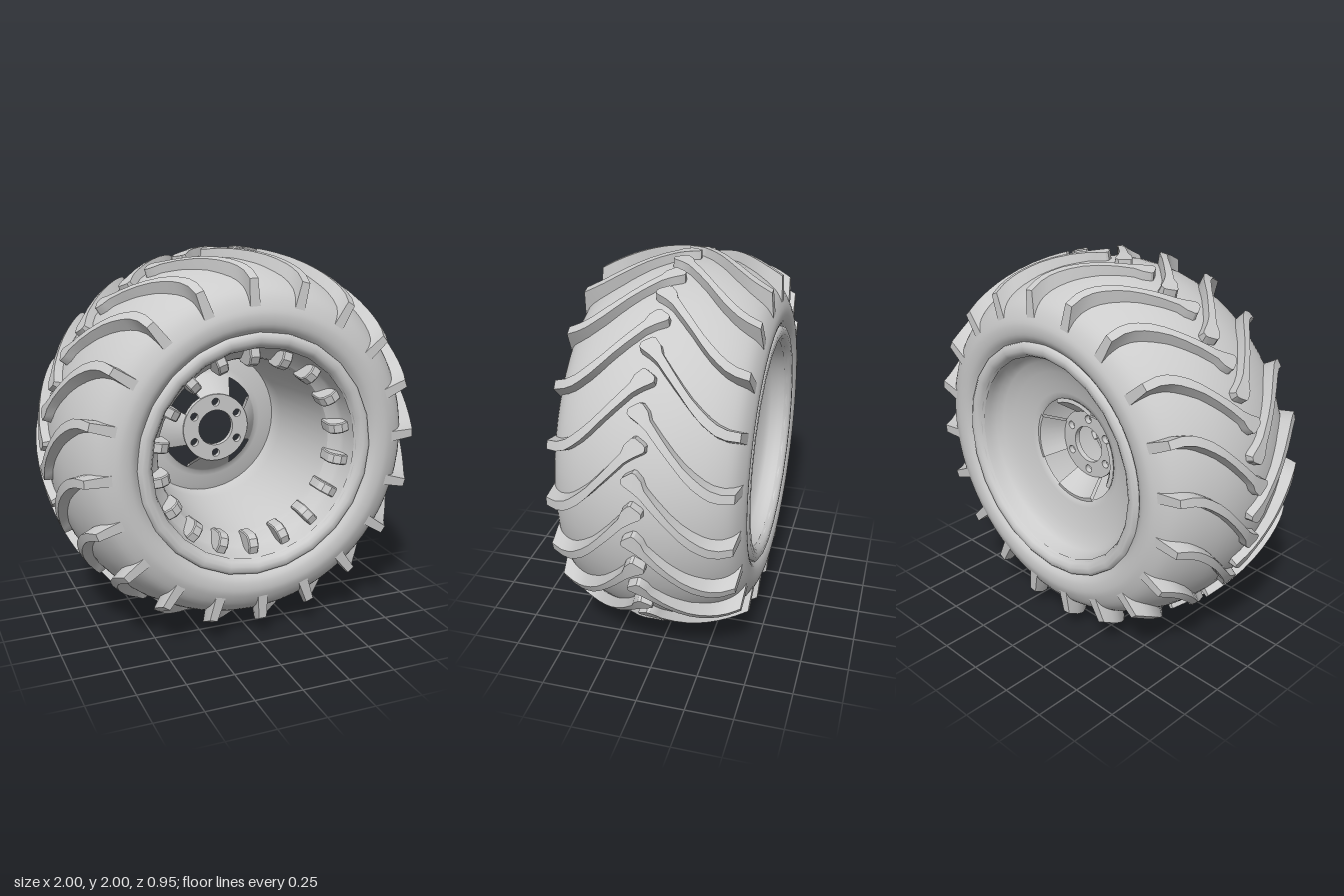
import * as THREE from 'three';
import { toCreasedNormals } from 'three/addons/utils/BufferGeometryUtils.js';

const material = new THREE.MeshStandardMaterial({ color: 0xcccccc, side: THREE.DoubleSide });
const LUGS = 20, CLAMPS = 18;
const v2 = (p) => new THREE.Vector2(p[0], p[1]);

function add(parent, name, geometry) {
  const mesh = new THREE.Mesh(geometry, material);
  mesh.name = name;
  parent.add(mesh);
  return mesh;
}

// Revolve [radius, z] points about the z axle
function revolve(points, segments, crease) {
  const geometry = new THREE.LatheGeometry(points.map(v2), segments).rotateX(Math.PI / 2);
  return crease ? toCreasedNormals(geometry, crease) : geometry;
}

// Half of the tyre section, from the crown to the bead: [radius, z]
const HALF_SECTION = [
  [0.96, 0], [0.945, 0.15], [0.905, 0.28], [0.86, 0.37], [0.81, 0.43],
  [0.745, 0.465], [0.7, 0.473], [0.655, 0.465], [0.622, 0.44],
];

function carcassRadius(z) {
  for (let i = 1; i < HALF_SECTION.length; i++) {
    const [r0, z0] = HALF_SECTION[i - 1], [r1, z1] = HALF_SECTION[i];
    if (z <= z1) return r0 + (r1 - r0) * (z - z0) / (z1 - z0);
  }
  return 0.7;
}

function carcass() {
  const mirrored = HALF_SECTION.slice(1).reverse().map(([r, z]) => [r, -z]);
  const curve = new THREE.SplineCurve([...mirrored, ...HALF_SECTION].map(v2));
  return revolve(curve.getPoints(48).map((p) => [p.x, p.y]), 64);
}

// Tread lug stations: [z, lower angle, upper angle], from the hooked head to the shoulder
const LUG_STATIONS = [
  [-0.05, -0.012, 0.018], [-0.04, -0.022, 0.03], [0, -0.045, 0.055], [0.015, -0.055, 0.052],
  [0.045, -0.078, 0.02], [0.06, -0.095, -0.02], [0.115, -0.155, -0.087], [0.17, -0.215, -0.152],
  [0.22, -0.272, -0.208], [0.265, -0.318, -0.25], [0.31, -0.354, -0.288], [0.345, -0.377, -0.312],
  [0.39, -0.392, -0.33], [0.45, -0.394, -0.334],
];

function lugGeometry(side) {
  const positions = [], index = [];
  const last = LUG_STATIONS.length - 1;
  const quad = (a, b, c, d) => (side > 0
    ? index.push(a, b, c, a, c, d) : index.push(a, c, b, a, d, c));
  LUG_STATIONS.forEach(([z, lo, hi], i) => {
    const top = 1 - 0.11 * Math.pow(Math.abs(z) / 0.45, 2.5);
    const base = carcassRadius(Math.abs(z)) - 0.02;
    const flare = 0.006;
    const baseZ = i === last ? z + 0.01 : z;
    const corners = [[base, lo - flare, baseZ], [top, lo + flare, z],
      [top, hi - flare, z], [base, hi + flare, baseZ]];
    for (const [r, a, w] of corners) positions.push(r * Math.cos(a), r * Math.sin(a), w * side);
    if (i === 0) return;
    const p = (i - 1) * 4, n = i * 4;
    for (let j = 0; j < 3; j++) quad(p + j, p + j + 1, n + j + 1, n + j);
  });
  quad(0, 3, 2, 1);
  const e = last * 4;
  quad(e, e + 1, e + 2, e + 3);
  const geometry = new THREE.BufferGeometry();
  geometry.setAttribute('position', new THREE.Float32BufferAttribute(positions, 3));
  geometry.setIndex(index);
  return toCreasedNormals(geometry, 0.5);
}

// Small hooked clamp on the bead seat, profile drawn in radius and z
function clampGeometry() {
  const profile = [[0.535, 0.39], [0.5, 0.4], [0.465, 0.385], [0.45, 0.36], [0.45, 0.33],
    [0.455, 0.27], [0.475, 0.25], [0.535, 0.3]];
  const width = 0.055;
  const geometry = new THREE.ExtrudeGeometry(new THREE.Shape(profile.map(v2)), {
    depth: width - 0.012, bevelEnabled: true, bevelSize: 0.005, bevelThickness: 0.006, bevelSegments: 1,
  });
  geometry.translate(0, 0, -(width - 0.012) / 2).rotateX(Math.PI / 2);
  return geometry;
}

function hubPlate() {
  const shape = new THREE.Shape();
  shape.absarc(0, 0, 0.19, 0, Math.PI * 2);
  const hole = (x, y, r) => {
    const path = new THREE.Path();
    path.absarc(x, y, r, 0, Math.PI * 2, true);
    shape.holes.push(path);
  };
  hole(0, 0, 0.1);
  for (let i = 0; i < 6; i++) {
    const a = Math.PI / 6 + i * Math.PI / 3;
    hole(0.145 * Math.cos(a), 0.145 * Math.sin(a), 0.022);
  }
  return new THREE.ExtrudeGeometry(shape, { depth: 0.03, bevelEnabled: false, curveSegments: 20 });
}

// Tapered spoke: one sector of a thick cone between the disc and the hub
function spokeGeometry() {
  const length = THREE.MathUtils.degToRad(54);
  const section = [[0.285, -0.27], [0.19, -0.15], [0.18, -0.165], [0.265, -0.275], [0.285, -0.27]];
  const geometry = new THREE.LatheGeometry(section.map(v2), 6, Math.PI / 2 - length / 2, length);
  return toCreasedNormals(geometry.rotateX(Math.PI / 2), 0.5);
}

export function createModel() {
  const model = new THREE.Group();
  model.name = 'tractorWheel';
  const wheel = new THREE.Group();
  wheel.name = 'wheel';
  wheel.position.y = 1;
  model.add(wheel);

  // Tyre with two staggered rows of lugs
  const tyre = new THREE.Group();
  tyre.name = 'tyre';
  wheel.add(tyre);
  add(tyre, 'carcass', carcass());
  for (const side of [1, -1]) {
    const geometry = lugGeometry(side);
    for (let i = 0; i < LUGS; i++) {
      const lug = add(tyre, side > 0 ? 'frontLug' : 'backLug', geometry);
      lug.rotation.z = THREE.MathUtils.degToRad((side > 0 ? 23 : 14) + i * 360 / LUGS);
    }
  }

  // Rim: rolled flanges, deep barrel and dished disc at the back
  const rim = new THREE.Group();
  rim.name = 'rim';
  wheel.add(rim);
  const flange = [[0.632, 0.435], [0.627, 0.455], [0.61, 0.467], [0.585, 0.467], [0.565, 0.455], [0.55, 0.43]];
  add(rim, 'frontFlange', revolve(flange, 24));
  add(rim, 'backFlange', revolve(flange.map(([r, z]) => [r, -z]), 24));
  add(rim, 'barrel', revolve([[0.41, -0.295], [0.42, -0.26], [0.425, -0.2], [0.465, 0.25], [0.475, 0.28],
    [0.525, 0.325], [0.535, 0.35], [0.545, 0.4], [0.556, 0.445]], 48, 0.5));
  add(rim, 'disc', revolve([[0.556, -0.445], [0.545, -0.4], [0.53, -0.36], [0.5, -0.335], [0.44, -0.31],
    [0.38, -0.292], [0.32, -0.278], [0.29, -0.272], [0.28, -0.262]], 48, 0.6));

  const clamp = clampGeometry();
  for (let i = 0; i < CLAMPS; i++) {
    add(rim, 'beadClamp', clamp).rotation.z = Math.PI / 2 + i * Math.PI * 2 / CLAMPS;
  }

  // Hub plate carried by four spokes
  const spoke = spokeGeometry();
  for (let i = 0; i < 4; i++) add(rim, 'spoke', spoke).rotation.z = i * Math.PI / 2;
  add(rim, 'hubPlate', hubPlate()).position.z = -0.17;

  return model;
}
